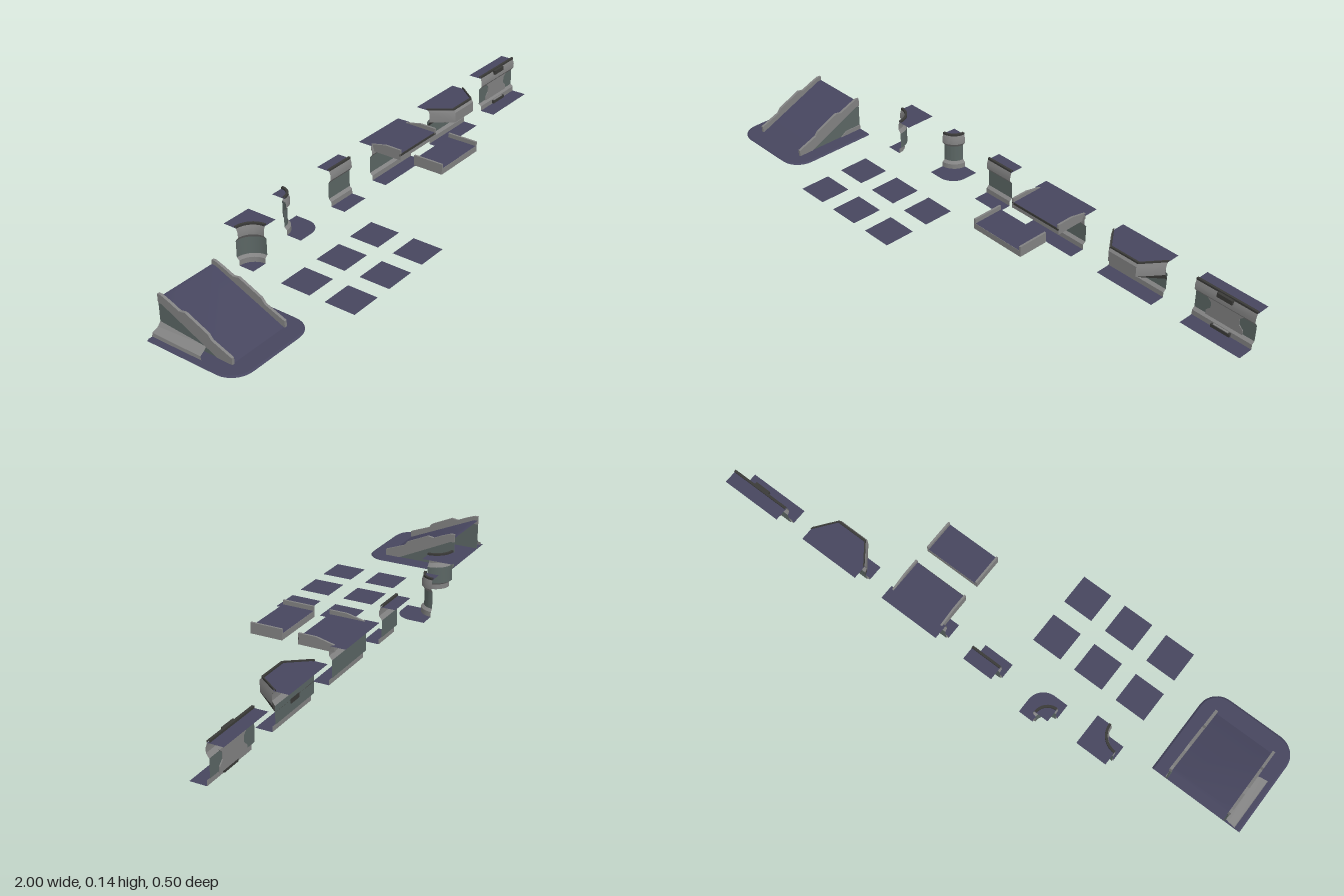
import * as THREE from 'three';
import { toCreasedNormals } from 'three/addons/utils/BufferGeometryUtils.js';

const mat = (name, color) => {
  const m = new THREE.MeshStandardMaterial({ color, side: THREE.DoubleSide });
  m.name = name;
  return m;
};
const floorMat = mat('navy floor', 0x47465f);
const stoneMat = mat('light grey stone', 0x828282);
const wallMat = mat('green grey wall', 0x5b6664);
const darkMat = mat('dark trim', 0x3a3a38);

const U = 1 / 9;                  // tile size
const BACK = -0.25, MID = BACK + U / 2, FRONT = BACK + U, TOP = 0.13;

function add(parent, name, geometry, material) {
  const mesh = new THREE.Mesh(geometry, material);
  mesh.name = name;
  parent.add(mesh);
  return mesh;
}
function group(parent, name) {
  const g = new THREE.Group();
  g.name = name;
  parent.add(g);
  return g;
}
// surface through rows of [x, y, z] points
function loft(rows) {
  const pos = [];
  for (let i = 0; i < rows.length - 1; i++)
    for (let j = 0; j < rows[i].length - 1; j++) {
      const a = rows[i][j], b = rows[i][j + 1], c = rows[i + 1][j + 1], d = rows[i + 1][j];
      pos.push(...a, ...b, ...c, ...a, ...c, ...d);
    }
  const g = new THREE.BufferGeometry();
  g.setAttribute('position', new THREE.Float32BufferAttribute(pos, 3));
  return toCreasedNormals(g, 0.5);
}
// flat outline of [x, z] points at height y, facing up
function flat(points, y) {
  const g = new THREE.ShapeGeometry(new THREE.Shape(points.map(([x, z]) => new THREE.Vector2(x, -z))));
  return g.rotateX(-Math.PI / 2).translate(0, y, 0);
}
const rect = (x0, x1, z0, z1) => [[x0, z0], [x0, z1], [x1, z1], [x1, z0]];
function arc(cx, cz, r, a0, a1, n = 10) {
  return Array.from({ length: n + 1 }, (_, i) => {
    const a = a0 + (a1 - a0) * i / n;
    return [cx + r * Math.cos(a), cz + r * Math.sin(a)];
  });
}
function box(parent, name, x0, x1, y0, y1, z0, z1, material) {
  const g = new THREE.BoxGeometry(x1 - x0, y1 - y0, z1 - z0);
  g.translate((x0 + x1) / 2, (y0 + y1) / 2, (z0 + z1) / 2);
  return add(parent, name, g, material);
}
// side plate cut from a [z, y] outline, from x0 to x1
function sidePlate(parent, name, outline, x0, x1, material) {
  const s = new THREE.Shape(outline.map(([z, y]) => new THREE.Vector2(-z, y)));
  const g = new THREE.ExtrudeGeometry(s, { depth: x1 - x0, bevelEnabled: false });
  g.rotateY(Math.PI / 2).translate(x0, 0, 0);
  return add(parent, name, g, material);
}

// wall section bands as [forward offset, height]
const BANDS = {
  foot: [stoneMat, [[0, 0], [0, 0.018], [-0.01, 0.026]]],
  face: [wallMat, [[-0.01, 0.026], [-0.01, 0.085]]],
  lip: [stoneMat, [[-0.01, 0.085], [0, 0.098], [0, 0.115], [-0.005, TOP]]],
  cap: [darkMat, [[-0.004, TOP], [-0.004, 0.137], [-0.012, 0.137], [-0.012, TOP]]]
};
// plan(offset) gives the [x, z] line of the wall at that offset
function wall(parent, plan, names = ['foot', 'face', 'lip', 'cap']) {
  for (const n of names) {
    const [m, section] = BANDS[n];
    add(parent, 'wall ' + n, loft(section.map(([d, y]) => plan(d).map(([x, z]) => [x, y, z]))), m);
  }
}
function straight(parent, x0, x1, names) {
  wall(parent, d => [[x0, MID + d], [x1, MID + d]], names);
  add(parent, 'lower floor', flat(rect(x0, x1, MID, FRONT), 0), floorMat);
  add(parent, 'upper floor', flat(rect(x0, x1, BACK, MID - 0.005), TOP), floorMat);
}
// pair of edge rails
function rails(parent, outline, x0, x1) {
  sidePlate(parent, 'right rail', outline, x0, x0 + 0.007, stoneMat);
  sidePlate(parent, 'left rail', outline, x1 - 0.007, x1, stoneMat);
}

export function createModel() {
  const model = new THREE.Group();
  model.name = 'modular terrain kit';
  const q = Math.PI / 2;

  // loose floor tiles
  const tiles = group(model, 'floor tiles');
  for (const z of [-0.03, 0.138])
    for (let i = 0; i < 3; i++) {
      const x = -5 * U + i * U * 1.5;
      add(tiles, 'floor tile', flat(rect(x, x + U, z, z + U), 0), floorMat);
    }

  // inner corner: the wall bends around the low quarter
  const inner = group(model, 'inner corner'), xi = -5 * U;
  wall(inner, d => arc(xi, FRONT, U / 2 - d, -q, 0));
  add(inner, 'lower floor', flat([[xi, FRONT], ...arc(xi, FRONT, U / 2, -q, 0)], 0), floorMat);
  add(inner, 'upper floor', flat([[xi, BACK], ...arc(xi, FRONT, U / 2 + 0.005, -q, 0),
    [xi + U, FRONT], [xi + U, BACK]], TOP), floorMat);

  // outer corner: the wall bends around the high quarter
  const outer = group(model, 'outer corner'), xo = -3 * U;
  wall(outer, d => arc(xo, BACK, U / 2 + d, q, 0));
  add(outer, 'upper floor', flat([[xo, BACK], ...arc(xo, BACK, U / 2 - 0.005, q, 0)], TOP), floorMat);
  add(outer, 'lower floor', flat([...arc(xo, BACK, U / 2, 0, q), [xo, FRONT],
    ...arc(xo + U - 0.06, FRONT - 0.06, 0.06, q, 0), [xo + U, BACK]], 0), floorMat);

  // plain wall
  straight(group(model, 'straight wall'), -U, 0);

  // wall with bridge landing
  const landing = group(model, 'bridge landing');
  straight(landing, U, 3 * U, ['foot', 'face', 'lip']);
  const bx0 = 0.12, bx1 = 0.325;
  box(landing, 'landing slab', bx0, bx1, 0.108, 0.128, -0.2, -0.085, stoneMat);
  add(landing, 'landing deck', flat(rect(bx0, bx1, -0.21, -0.085), TOP + 0.001), floorMat);
  box(landing, 'deck edge', bx0, bx1, 0.122, 0.13, -0.087, -0.084, darkMat);
  rails(landing, [[-0.084, 0.108], [-0.084, 0.145], [-0.145, 0.145], [-0.207, 0.131], [-0.207, 0.108]], bx0, bx1);

  // free bridge section
  const bridge = group(model, 'bridge section');
  box(bridge, 'bridge slab', bx0, bx1, 0.108, 0.129, -0.028, 0.083, stoneMat);
  add(bridge, 'bridge deck', flat(rect(bx0, bx1, -0.028, 0.083), TOP), floorMat);
  rails(bridge, [[-0.028, 0.108], [0.083, 0.108], [0.083, 0.145], [-0.028, 0.145]], bx0, bx1);

  // wall with balcony
  const balcony = group(model, 'balcony wall');
  straight(balcony, 4 * U, 6 * U, ['foot', 'face', 'lip']);
  const row = (y, o) => [[4 * U, y, -0.203 + o], [0.5, y, -0.13 + o], [0.611, y, -0.13 + o], [6 * U, y, -0.203 + o]];
  add(balcony, 'balcony floor', flat(row(0, 0).map(p => [p[0], p[2]]), TOP + 0.001), floorMat);
  add(balcony, 'balcony cap', loft([row(TOP, 0.002), row(0.136, 0.002), row(0.136, -0.005), row(TOP, -0.005)]), darkMat);
  add(balcony, 'balcony front', loft([row(TOP, 0.002), row(0.122, 0.008), row(0.085, 0.008)]), stoneMat);
  const wallLine = row(0.065, 0).map(([x, y]) => [x, y, -0.205]);
  add(balcony, 'balcony underside', loft([row(0.085, 0.008), wallLine]), darkMat);
  box(balcony, 'balcony bracket', 0.53, 0.58, 0.052, 0.068, -0.205, -0.185, darkMat);

  // wall with door panel
  const door = group(model, 'door wall'), dx0 = 7 * U, dx1 = 9 * U, dc = 8 * U;
  straight(door, dx0, dx1);
  const panel = new THREE.Shape([[-0.068, 0.02], [0.068, 0.02], [0.068, 0.04], [0.052, 0.055], [0.052, 0.075],
    [0.068, 0.09], [-0.068, 0.09], [-0.052, 0.075], [-0.052, 0.055], [-0.068, 0.04]].map(p => new THREE.Vector2(...p)));
  const panelGeo = new THREE.ExtrudeGeometry(panel, { depth: 0.006, bevelEnabled: false });
  add(door, 'door panel', panelGeo.translate(dc, 0, -0.208), stoneMat);
  box(door, 'door step', dc - 0.035, dc + 0.035, 0.003, 0.014, -0.2, -0.186, darkMat);
  box(door, 'step top', dc - 0.028, dc + 0.028, 0.013, 0.016, -0.2, -0.188, stoneMat);
  box(door, 'cap block', dc - 0.028, dc + 0.028, 0.118, 0.133, -0.2, -0.189, darkMat);

  // ramp with rounded base plate
  const ramp = group(model, 'ramp');
  const rz0 = -0.139, rz1 = 0.194, rx0 = -1, rx1 = -6 * U, r = 0.07;
  const plate = k => [[rx0 + k, rz0], ...arc(rx0 + r, rz1 - r, r - k, 2 * q, q, 8),
    ...arc(rx1 - r, rz1 - r, r - k, q, 0, 8), [rx1 - k, rz0]];
  add(ramp, 'base plate', flat(plate(0.006), 0.004), floorMat);
  add(ramp, 'base plate underside', flat(plate(0), 0), floorMat);
  add(ramp, 'base plate edge', loft([plate(0).map(([x, z]) => [x, 0, z]),
    plate(0.006).map(([x, z]) => [x, 0.004, z])]), floorMat);
  const sx0 = -0.937, sx1 = -0.727;
  add(ramp, 'ramp surface', loft([[[sx0, 0.004, 0.13], [sx1, 0.004, 0.13]],
    [[sx0, 0.115, -0.125], [sx1, 0.115, -0.125]], [[sx0, 0.115, rz0], [sx1, 0.115, rz0]]]), floorMat);
  const rail = [[0.133, 0.003], [0.133, 0.026], [0.06, 0.054], [0.047, 0.07], [-0.035, 0.107], [-0.058, 0.103],
    [-0.09, 0.117], [-0.125, TOP], [rz0, TOP], [rz0, 0.1], [-0.125, 0.1], [0.08, 0.003]];
  const side = [[0.08, 0.003], [-0.125, 0.1], [rz0, 0.1], [rz0, 0.003]];
  for (const x of [sx0 - 0.009, sx1]) {
    sidePlate(ramp, 'ramp rail', rail, x, x + 0.009, stoneMat);
    sidePlate(ramp, 'ramp side', side, x + 0.002, x + 0.007, wallMat);
  }
  // flared foot on the outer side, flush band on the inner side
  add(ramp, 'ramp foot', loft([[[-0.98, 0.004, rz0], [-0.98, 0.004, 0.05]], [[-0.978, 0.016, rz0], [-0.978, 0.014, 0.045]],
    [[-0.955, 0.024, rz0], [-0.955, 0.02, 0.04]], [[-0.943, 0.038, rz0], [-0.943, 0.024, 0.035]]]), stoneMat);
  sidePlate(ramp, 'ramp foot band', [[-0.05, 0.003], [-0.075, 0.02], [rz0, 0.02], [rz0, 0.003]], sx1 + 0.007, sx1 + 0.01, stoneMat);
  return model;
}
